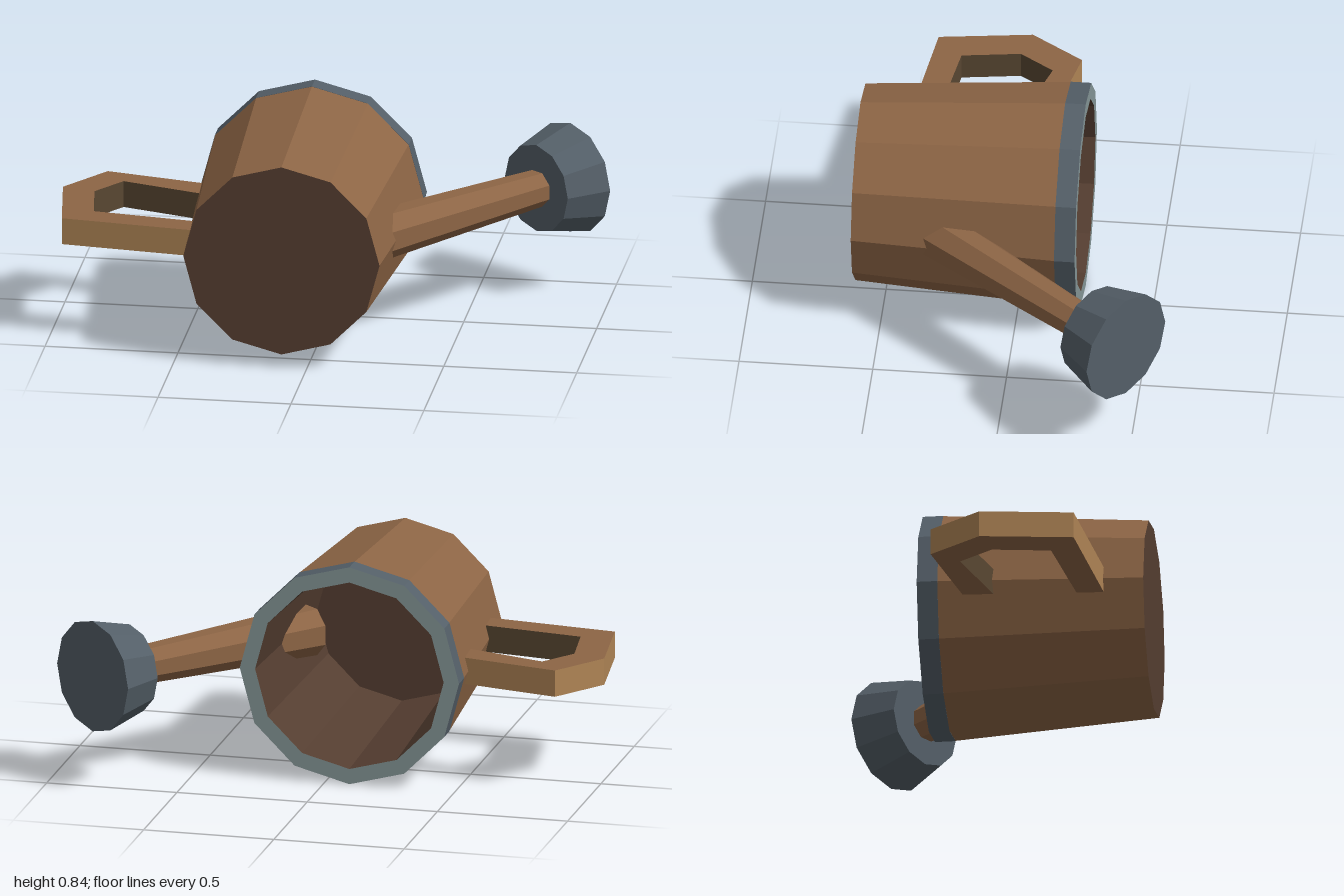
import * as THREE from 'three';

const CX = -0.095, CY = 0.424; // axis of the can, which lies along z

const mat = (name, color) => {
  const m = new THREE.MeshStandardMaterial({ color, flatShading: true });
  m.name = name;
  return m;
};

// Turned 12-sided part around the can's axis; profile is [radius, -z]
function turned(name, profile, material) {
  const pts = profile.map(([r, h]) => new THREE.Vector2(r, h));
  const mesh = new THREE.Mesh(new THREE.LatheGeometry(pts, 12), material);
  mesh.name = name;
  mesh.rotation.x = -Math.PI / 2;
  mesh.position.set(CX, CY, 0);
  return mesh;
}

// Tapered cylinder between two [x, z] points at the height of the axis
function tapered(name, from, to, r0, r1, sides, twist, material) {
  const dx = to[0] - from[0], dz = to[1] - from[1];
  const geo = new THREE.CylinderGeometry(r1, r0, Math.hypot(dx, dz), sides);
  geo.rotateY(twist);
  geo.rotateX(-Math.PI / 2);
  geo.rotateY(-Math.atan2(dx, -dz));
  const mesh = new THREE.Mesh(geo, material);
  mesh.name = name;
  mesh.position.set((from[0] + to[0]) / 2, CY, (from[1] + to[1]) / 2);
  return mesh;
}

export function createModel() {
  const brown = mat('brown', 0x8d6545);
  const darkBrown = mat('dark brown', 0x553e31);
  const olive = mat('olive brown', 0x594732);
  const tan = mat('tan', 0xaf8455);
  const grey = mat('slate grey', 0x545f68);
  const paleGrey = mat('pale grey', 0x859697);
  const group = new THREE.Group();
  group.name = 'wateringCan';

  // Hollow body: outer wall, closed base, and dark lining with its floor
  group.add(turned('bodyWall', [[0.369, -0.605], [0.42, 0.16]], brown));
  group.add(turned('base', [[0, -0.605], [0.369, -0.605]], darkBrown));
  group.add(turned('lining', [[0.362, 0.237], [0.325, -0.55], [0, -0.55]], darkBrown));

  // Rim band and the flat ring round the mouth
  group.add(turned('rimBand', [[0.41, 0.16], [0.421, 0.16], [0.421, 0.237]], grey));
  group.add(turned('rimFace', [[0.421, 0.237], [0.362, 0.237]], paleGrey));

  // Spout with flat top and bottom facets, and sprinkler head
  group.add(tapered('spout', [0.19, 0.306], [0.745, -0.36], 0.097, 0.07, 8, Math.PI / 8, brown));
  group.add(tapered('sprinklerHead', [0.722, -0.34], [0.829, -0.479], 0.169, 0.214, 12, 0, grey));

  // Angular handle, outlined in x and z
  const outline = [
    [-0.437, -0.055], [-0.861, -0.147], [-1, 0.05], [-0.952, 0.398], [-0.437, 0.46],
    [-0.437, 0.36], [-0.845, 0.302], [-0.877, 0.083], [-0.786, -0.045], [-0.437, 0.063],
  ];
  const shape = new THREE.Shape(outline.map(([x, z]) => new THREE.Vector2(x, -z)));
  const geo = new THREE.ExtrudeGeometry(shape, { depth: 0.102, bevelEnabled: false });
  geo.rotateX(-Math.PI / 2);
  // Side walls run backwards along the outline: four inner ones, then the outer ones
  const { start, count } = geo.groups[1];
  geo.groups[1].count = 24;
  geo.addGroup(start + 24, count - 24, 2);
  const handle = new THREE.Mesh(geo, [brown, tan, olive]);
  handle.name = 'handle';
  handle.position.y = CY - 0.051;
  group.add(handle);

  return group;
}
